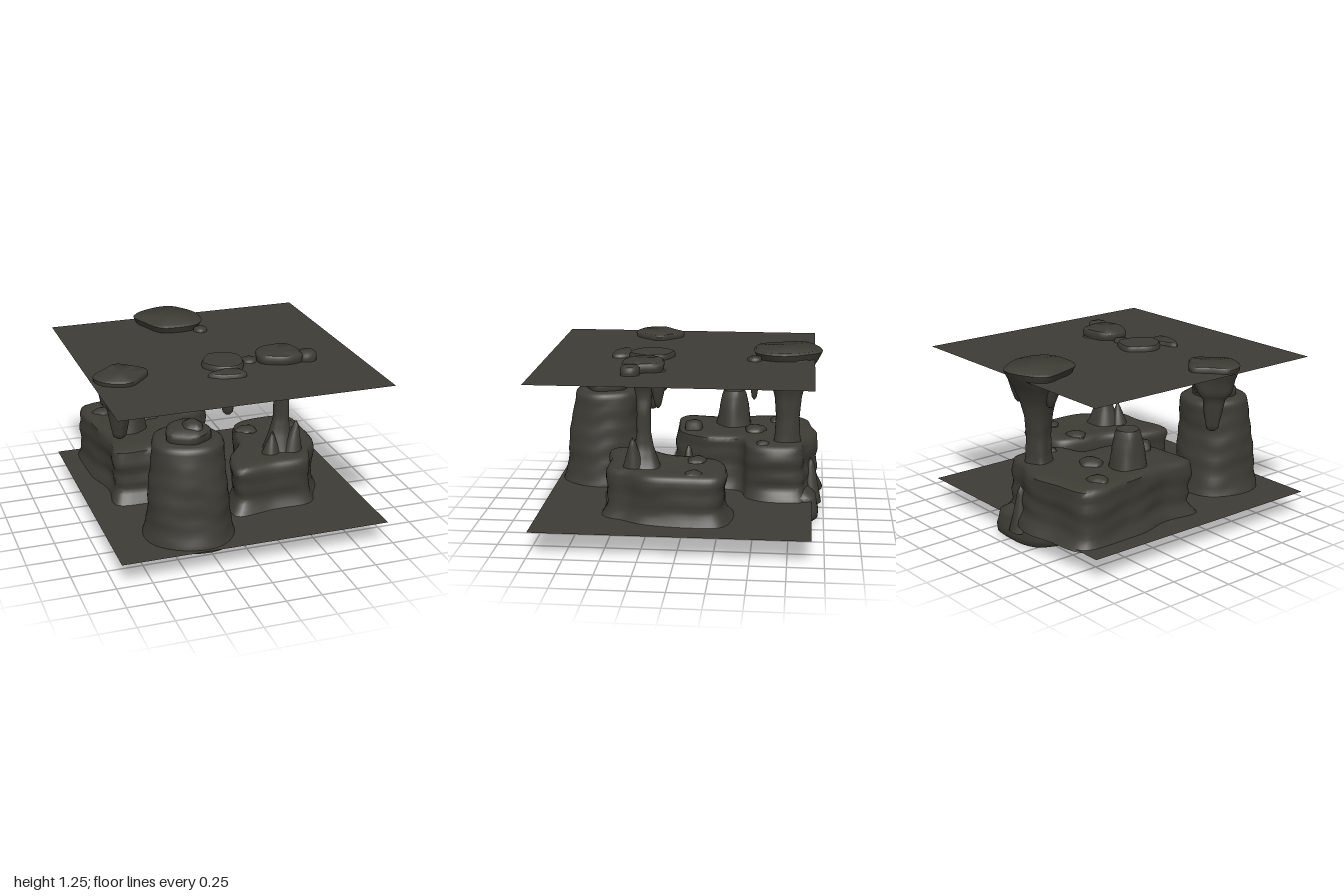
import * as THREE from 'three';
import { toCreasedNormals } from 'three/addons/utils/BufferGeometryUtils.js';

const stone = new THREE.MeshStandardMaterial({ color: 0x3d3c35 });
stone.name = 'dark cave stone';
const sheet = new THREE.MeshStandardMaterial({ color: 0x3d3c35, side: THREE.DoubleSide });
sheet.name = 'dark cave sheet';

// Closed lumpy loft: outline of [x, z] points around a centre,
// levels [y, scale, dx, dz] from bottom to top
function loft(name, centre, outline, levels, { lump = 0.015, rib = 0, sides = 56, step = 0.03 } = {}) {
  const [cx, cz] = centre;
  const curve = new THREE.CatmullRomCurve3(outline.map(([x, z]) => new THREE.Vector3(x - cx, 0, z - cz)), true);
  let ring = curve.getSpacedPoints(sides).slice(0, sides);
  let area = 0;
  ring.forEach((p, i) => { const q = ring[(i + 1) % sides]; area += p.x * q.z - q.x * p.z; });
  if (area < 0) ring = ring.reverse();

  // subdivide the levels
  const rows = [];
  levels.forEach((a, i) => {
    const b = levels[i + 1];
    const n = b ? Math.max(1, Math.round((b[0] - a[0]) / step)) : 1;
    for (let s = 0; s < n; s++) {
      rows.push([0, 1, 2, 3].map(c => (a[c] || 0) + (b ? ((b[c] || 0) - (a[c] || 0)) * s / n : 0)));
    }
  });

  const pos = [], idx = [];
  for (const [y, k, dx, dz] of rows) {
    for (const p of ring) {
      const t = Math.atan2(p.z, p.x);
      const w = 1 + lump * (Math.sin(5 * t + y * 9 + cx * 20) + Math.sin(3 * t - y * 14 + cz * 9))
        + rib * Math.sin(y * 46 + 1.2 * Math.sin(2 * t) + 0.5 * Math.sin(7 * t));
      pos.push(cx + dx + p.x * k * w, y, cz + dz + p.z * k * w);
    }
  }
  const last = rows.length - 1, bottom = pos.length / 3, top = bottom + 1;
  for (const r of [rows[0], rows[last]]) pos.push(cx + r[2], r[0], cz + r[3]);
  for (let j = 0; j < sides; j++) {
    const n = (j + 1) % sides;
    for (let i = 0; i < last; i++) {
      const a = i * sides + j, b = i * sides + n;
      idx.push(a, a + sides, b, b, a + sides, b + sides);
    }
    idx.push(j, n, bottom, last * sides + j, top, last * sides + n);
  }
  const g = new THREE.BufferGeometry();
  g.setAttribute('position', new THREE.Float32BufferAttribute(pos, 3));
  g.setIndex(idx);
  const m = new THREE.Mesh(toCreasedNormals(g, 0.9), stone);
  m.name = name;
  return m;
}

// Elliptical outline
const oval = (x, z, rx, rz = rx) => Array.from({ length: 10 }, (_, i) => {
  const a = i / 10 * Math.PI * 2;
  return [x + rx * Math.cos(a), z + rz * Math.sin(a)];
});
const round = (name, x, z, rx, rz, levels, opt = {}) =>
  loft(name, [x, z], oval(x, z, rx, rz), levels, { sides: 24, ...opt });

// Tapering spikes that hang or stand
const hanging = (x, z, r, tip, top, rz = r) => round('stalactite', x, z, r, rz, [
  [tip, 0.1], [tip + 0.02, 0.35], [tip + (top - tip) * 0.4, 0.7], [top - 0.06, 1], [top - 0.01, 1], [top, 0.8]]);
const standing = (x, z, r, base, tip, lx = 0) => round('stalagmite', x, z, r, r, [
  [base, 1.1], [base + (tip - base) * 0.4, 0.75, lx * 0.4], [tip - 0.03, 0.3, lx], [tip, 0.1, lx]]);

export function createModel() {
  const cave = new THREE.Group();
  cave.name = 'cave';

  // Floor and ceiling sheets
  for (const [name, y] of [['floor', 0.173], ['ceiling', 1.193]]) {
    const g = new THREE.PlaneGeometry(1.91, 1.91).rotateX(-Math.PI / 2);
    const m = new THREE.Mesh(g, sheet);
    m.name = name;
    m.position.set(-0.003, y, 0.045);
    cave.add(m);
  }

  // Tall mound with its cap
  cave.add(
    loft('tallMound', [-0.39, 0.65],
      [[-0.69, 0.64], [-0.64, 0.83], [-0.48, 0.93], [-0.25, 0.93], [-0.13, 0.8], [-0.1, 0.62], [-0.2, 0.42], [-0.4, 0.36], [-0.6, 0.43]],
      [[0.15, 1.08], [0.2, 1.04], [0.3, 0.96], [0.5, 0.92], [0.65, 0.86], [0.72, 0.84, 0, -0.01], [0.82, 0.82, 0, -0.02],
        [0.85, 0.79, 0, -0.02], [0.865, 0.7, 0, -0.02]], { rib: 0.01, lump: 0.01 }),
    round('moundCap', -0.39, 0.64, 0.15, 0.155, [[0.84, 0.9], [0.87, 1], [0.92, 1], [0.94, 0.85], [0.95, 0.6]], { lump: 0.05 }),
    round('moundCap', -0.36, 0.66, 0.07, 0.1, [[0.93, 1], [0.96, 0.9], [0.98, 0.5]], { lump: 0.05 }));

  // Front terrace
  cave.add(loft('frontTerrace', [0.42, 0.12],
    [[0.02, 0.54], [0.28, 0.52], [0.55, 0.5], [0.62, 0.36], [0.7, 0.22], [0.73, -0.05], [0.7, -0.27], [0.5, -0.32],
      [0.28, -0.27], [0.2, -0.08], [0.15, 0.12], [0.04, 0.3]],
    [[0.168, 1.1], [0.21, 1.03], [0.27, 0.98], [0.4, 1], [0.47, 1.01], [0.5, 0.99], [0.515, 0.94], [0.52, 0.8], [0.51, 0.5]],
    { rib: 0.01, lump: 0.012, sides: 90 }));

  // Back terrace
  cave.add(loft('backTerrace', [-0.42, -0.48],
    [[-0.77, -0.84], [-0.5, -0.9], [-0.28, -0.94], [-0.05, -0.86], [0.1, -0.82], [0.13, -0.6], [0.05, -0.45], [-0.12, -0.38],
      [-0.16, -0.12], [-0.3, 0.08], [-0.55, 0.12], [-0.74, 0.09], [-0.73, -0.15], [-0.78, -0.45]],
    [[0.16, 1.1], [0.2, 1.06], [0.27, 1], [0.4, 1], [0.52, 1.01], [0.555, 0.99], [0.57, 0.93], [0.575, 0.75], [0.565, 0.4]],
    { rib: 0.012, lump: 0.012, sides: 90 }));

  // Boulder under the back terrace and the spike behind it
  cave.add(
    loft('underBoulder', [-0.08, -0.73],
      [[-0.31, -0.53], [-0.31, -0.88], [-0.12, -0.94], [0.12, -0.92], [0.15, -0.72], [0.1, -0.53], [-0.1, -0.51]],
      [[0.005, 0.7], [0.015, 0.92], [0.04, 1.03], [0.1, 1.03], [0.14, 0.98], [0.2, 0.95], [0.24, 0.7]], { lump: 0.025 }),
    standing(-0.11, -0.9, 0.075, 0.1, 0.43, -0.01));

  // Back column
  cave.add(loft('backColumn', [-0.1, -0.73],
    [[-0.35, -0.82], [-0.28, -0.9], [-0.1, -0.96], [0.01, -0.94], [0.13, -0.66], [0.05, -0.5], [-0.2, -0.49], [-0.3, -0.63]],
    [[0.5, 0.46], [0.6, 0.38, 0.01], [0.75, 0.35, 0.01], [0.9, 0.4], [1, 0.5], [1.1, 0.68], [1.19, 0.9], [1.24, 1], [1.255, 0.94]]));
  cave.add(hanging(0.07, -0.485, 0.05, 0.91, 1.22), hanging(-0.23, -0.72, 0.08, 0.98, 1.2), hanging(0.03, -0.8, 0.07, 0.98, 1.2));

  // Front column with spikes round its foot
  cave.add(loft('frontColumn', [0.4, 0.26],
    [[0.25, 0.2], [0.33, 0.13], [0.5, 0.13], [0.55, 0.24], [0.54, 0.38], [0.38, 0.4], [0.25, 0.33]],
    [[0.48, 0.85, 0.03], [0.55, 0.66, 0.02], [0.65, 0.44, 0.02], [0.75, 0.33, 0.03], [0.9, 0.33, 0.03], [1, 0.36, 0.01],
      [1.07, 0.48], [1.14, 0.75], [1.19, 0.95], [1.24, 1], [1.255, 0.92]]));
  cave.add(
    standing(0.49, 0.33, 0.07, 0.5, 0.73, 0.03), standing(0.33, 0.33, 0.06, 0.5, 0.67, 0.01),
    hanging(0.3, 0.26, 0.05, 1.01, 1.2), hanging(0.45, 0.16, 0.06, 0.93, 1.2),
    round('ceilingKnob', 0.585, 0.335, 0.07, 0.065, [[1.11, 0.4], [1.125, 0.8], [1.18, 1], [1.24, 1], [1.255, 0.8]]));

  // Left hanging rock with its long tip
  cave.add(
    loft('leftHangingRock', [-0.745, 0.27],
      [[-0.94, 0.28], [-0.84, 0.17], [-0.74, 0.09], [-0.62, 0.17], [-0.55, 0.27], [-0.64, 0.39], [-0.74, 0.46], [-0.89, 0.4]],
      [[0.75, 0.1, -0.015], [0.77, 0.24, -0.015], [0.88, 0.36, -0.015], [0.98, 0.44, -0.02], [1.03, 0.65, -0.02], [1.12, 0.83],
        [1.19, 0.97], [1.22, 1], [1.232, 0.94]]),
    hanging(-0.62, 0.25, 0.045, 0.99, 1.2));

  // Middle hanging rocks
  cave.add(
    loft('middleHangingRock', [-0.01, 0.25],
      [[-0.16, 0.27], [-0.06, 0.09], [0.12, 0.15], [0.14, 0.28], [0.05, 0.41], [-0.1, 0.37]],
      [[0.82, 0.13, 0.04], [0.84, 0.25, 0.04], [0.93, 0.35, 0.04], [1.02, 0.46, 0.03], [1.08, 0.75], [1.15, 0.92], [1.21, 1], [1.23, 0.92]]),
    loft('frontHangingRock', [-0.05, 0.46],
      [[-0.18, 0.45], [-0.1, 0.41], [0.02, 0.39], [0.08, 0.46], [0.07, 0.52], [-0.08, 0.52]],
      [[1.04, 0.5], [1.055, 0.8], [1.1, 0.95], [1.18, 1.02], [1.21, 1], [1.22, 0.9]], { sides: 32 }),
    hanging(-0.12, 0.44, 0.035, 0.96, 1.15),
    hanging(0.19, 0.24, 0.055, 0.93, 1.215));

  // Stump on the back terrace
  cave.add(round('stump', -0.55, -0.31, 0.125, 0.125,
    [[0.54, 1.1], [0.62, 0.98], [0.72, 0.86], [0.8, 0.72], [0.83, 0.62], [0.815, 0.3]], { lump: 0.03 }));

  // Loose stones on the floor and terraces
  const stones = [[-0.35, -0.02, 0.08, 0.56, 0.63], [-0.36, -0.48, 0.09, 0.55, 0.6], [-0.14, 0.46, 0.06, 0.17, 0.23],
    [0.62, -0.1, 0.07, 0.5, 0.535], [0.3, -0.1, 0.08, 0.5, 0.54], [-0.65, -0.65, 0.08, 0.55, 0.595], [0.02, -0.55, 0.06, 0.54, 0.59]];
  for (const [x, z, r, y, t] of stones) {
    cave.add(round('looseStone', x, z, r, r * 0.85, [[y, 1], [(y + t) / 2, 1], [t - 0.008, 0.8], [t, 0.4]], { lump: 0.06 }));
  }
  cave.add(standing(-0.1, 0, 0.07, 0.17, 0.5, -0.03));

  return cave;
}
